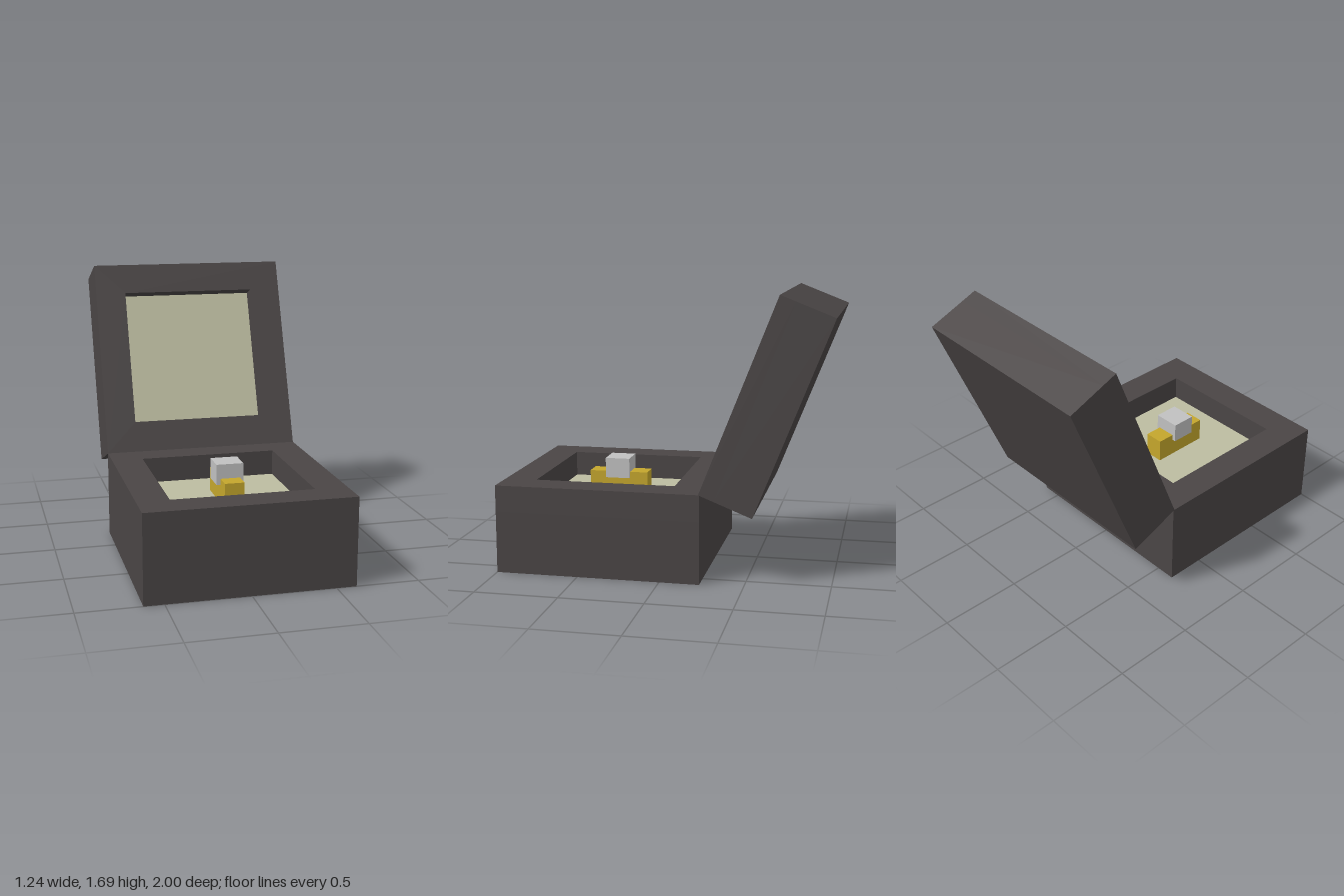
import * as THREE from 'three';

const material = (name, color) => {
  const m = new THREE.MeshStandardMaterial({ color });
  m.name = name;
  return m;
};

export function createModel() {
  const charcoal = material('charcoal', 0x4a4545);
  const cream = material('cream', 0xbcbca0);
  const gold = material('gold', 0xc4a62c);
  const silver = material('silver', 0xc0c0c0);

  const SIZE = 1.24, HOLE_X = [-0.428, 0.424];

  const box = (name, w, h, d, x, y, z, mat) => {
    const mesh = new THREE.Mesh(new THREE.BoxGeometry(w, h, d), mat);
    mesh.name = name;
    mesh.position.set(x, y, z);
    return mesh;
  };

  // Square box half: open side at z = 0, hinge or front edge at y = 0
  function boxHalf(name, thickness, recess, y0, y1) {
    const half = new THREE.Group();
    half.name = name;
    const [x0, x1] = HOLE_X;
    const shape = new THREE.Shape([
      new THREE.Vector2(-SIZE / 2, 0), new THREE.Vector2(SIZE / 2, 0),
      new THREE.Vector2(SIZE / 2, SIZE), new THREE.Vector2(-SIZE / 2, SIZE),
    ]);
    shape.holes.push(new THREE.Path([
      new THREE.Vector2(x0, y0), new THREE.Vector2(x0, y1),
      new THREE.Vector2(x1, y1), new THREE.Vector2(x1, y0),
    ]));
    const rim = new THREE.Mesh(
      new THREE.ExtrudeGeometry(shape, { depth: recess, bevelEnabled: false }), charcoal);
    rim.name = name + 'Rim';
    rim.position.z = -recess;
    const rest = thickness - recess;
    half.add(
      rim,
      box(name + 'Shell', SIZE, SIZE, rest, 0, SIZE / 2, -recess - rest / 2, charcoal),
      // Cushion lining the recess
      box(name + 'Cushion', x1 - x0, y1 - y0, 0.006, (x0 + x1) / 2, (y0 + y1) / 2, -recess, cream),
    );
    return half;
  }

  const model = new THREE.Group();
  model.name = 'ringBox';

  // Base lies flat with its open side up
  const base = boxHalf('base', 0.537, 0.16, 0.195, 1.055);
  base.rotation.x = -Math.PI / 2;
  base.position.set(0, 0.537, 1);

  // Lid leans back from the hinge edge
  const lid = boxHalf('lid', 0.338, 0.097, 0.193, 1.05);
  lid.rotation.x = -THREE.MathUtils.degToRad(21.5);
  lid.position.set(0, 0.537, -0.232);

  // Ring and its stone
  model.add(
    base, lid,
    box('ringBand', 0.12, 0.155, 0.37, 0.01, 0.4525, 0.38, gold),
    box('ringStone', 0.165, 0.125, 0.153, 0.008, 0.5555, 0.383, silver),
  );
  return model;
}
